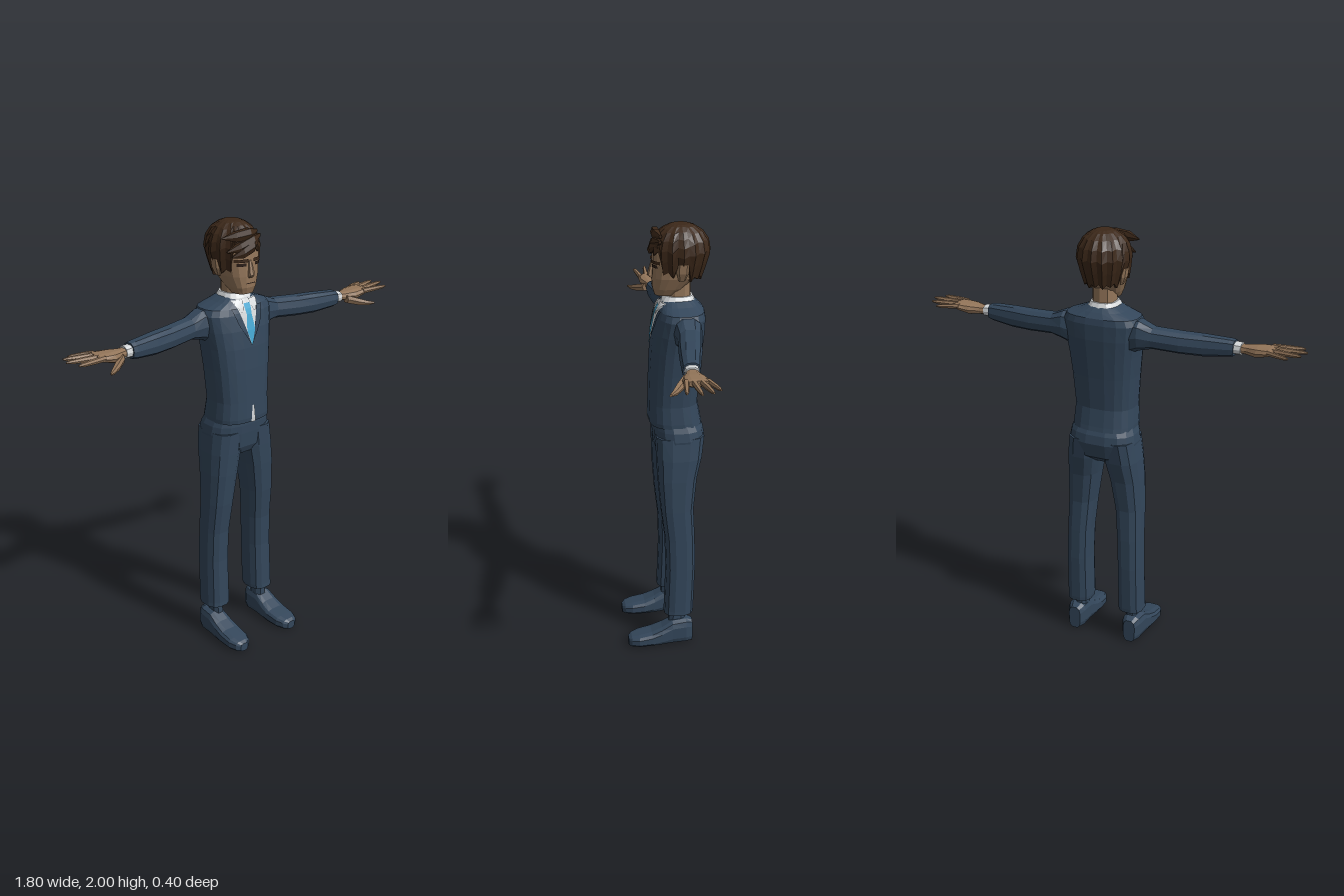
import * as THREE from 'three';

const material = (name, color) => {
  const m = new THREE.MeshStandardMaterial({ color, flatShading: true, side: THREE.DoubleSide });
  m.name = name;
  return m;
};

// Builds an indexed grid of rings, closed by end caps, and turned outwards by its signed volume
function skin(rings) {
  const n = rings[0].length, pts = rings.flat(), idx = [];
  for (let i = 0; i < rings.length - 1; i++)
    for (let j = 0; j < n; j++) {
      const a = i * n + j, b = i * n + (j + 1) % n;
      idx.push(a, b, b + n, a, b + n, a + n);
    }
  [rings[0], rings[rings.length - 1]].forEach((ring, end) => {
    const c = ring.reduce((s, p) => s.add(p), new THREE.Vector3()).divideScalar(n);
    const k = pts.push(c) - 1, o = end ? (rings.length - 1) * n : 0;
    for (let j = 0; j < n; j++) {
      const a = o + j, b = o + (j + 1) % n;
      idx.push(...(end ? [a, b, k] : [b, a, k]));
    }
  });
  let vol = 0;
  const mid = pts.reduce((s, p) => s.add(p), new THREE.Vector3()).divideScalar(pts.length);
  const rel = i => pts[i].clone().sub(mid);
  for (let i = 0; i < idx.length; i += 3)
    vol += rel(idx[i]).dot(rel(idx[i + 1]).cross(rel(idx[i + 2])));
  if (vol < 0) idx.reverse();
  const g = new THREE.BufferGeometry().setFromPoints(pts);
  g.setIndex(idx);
  const flat = g.toNonIndexed();
  flat.computeVertexNormals();
  return flat;
}

// Rows are [position, a0, a1, b0, b1]: a rounded section at each position along an axis
const power = (v, p) => Math.sign(v) * Math.abs(v) ** p;
function loft(rows, axis = 'y', side = 1, n = 12, p = 0.75) {
  return skin(rows.map(([t, a0, a1, b0, b1]) => Array.from({ length: n }, (_, j) => {
    const w = (j + 0.5) / n * Math.PI * 2;
    const a = (a0 + a1) / 2 + (a1 - a0) / 2 * power(Math.cos(w), p);
    const b = (b0 + b1) / 2 + (b1 - b0) / 2 * power(Math.sin(w), p);
    const q = axis === 'x' ? [t, a, b] : axis === 'y' ? [a, t, b] : [a, b, t];
    return new THREE.Vector3(q[0] * side, q[1], q[2]);
  })));
}

// Front z of an upright loft at x, y
function frontZ(rows, x, y, p = 0.75) {
  let i = 0;
  while (i < rows.length - 2 && y > rows[i + 1][0]) i++;
  const k = (y - rows[i][0]) / (rows[i + 1][0] - rows[i][0]);
  const r = rows[i].map((v, j) => v + (rows[i + 1][j] - v) * k);
  const c = Math.min(1, Math.abs(x / r[2]) ** (1 / p));
  return (r[3] + r[4]) / 2 + (r[4] - r[3]) / 2 * Math.sqrt(1 - c * c) ** p;
}

// Thin face laid over the front of a loft between two edge functions
function patch(rows, y0, y1, left, right, off) {
  const g = new THREE.PlaneGeometry(1, 1, 4, 8), pos = g.attributes.position;
  for (let i = 0; i < pos.count; i++) {
    const y = y0 + (y1 - y0) * (pos.getY(i) + 0.5);
    const x = left(y) + (right(y) - left(y)) * (pos.getX(i) + 0.5);
    pos.setXYZ(i, x, y, frontZ(rows, x, y) + off);
  }
  g.computeVertexNormals();
  return g;
}

export function createModel() {
  const suit = material('navy suit', 0x33465a), flesh = material('skin', 0x94765a);
  const brown = material('brown hair', 0x3c2819), white = material('white shirt', 0xd6d9db);
  const blue = material('blue tie', 0x45a8d2), dark = material('dark eyes', 0x2a1c15);
  const model = new THREE.Group();
  const add = (name, geometry, mat) => {
    const m = new THREE.Mesh(geometry, mat);
    m.name = name;
    model.add(m);
  };
  const even = (y, w, z0, z1) => [y, -w, w, z0, z1];

  // Jacket
  const torso = [
    even(1.10, 0.146, -0.16, 0.08), even(1.12, 0.146, -0.155, 0.082), even(1.20, 0.14, -0.14, 0.08),
    even(1.35, 0.152, -0.15, 0.076), even(1.45, 0.163, -0.16, 0.07), even(1.53, 0.175, -0.168, 0.06),
    even(1.60, 0.182, -0.17, 0.045), even(1.628, 0.168, -0.165, 0.035),
    even(1.65, 0.105, -0.145, 0.024), even(1.668, 0.068, -0.125, 0.012)];
  add('jacket', loft(torso, 'y', 1, 20), suit);

  // Shirt, tie, lapels and the gap at the hem
  const vee = y => Math.max(0, (y - 1.46) * 0.32);
  const tie = y => Math.min(vee(y), y > 1.61 ? 0.017 : 0.012 + (1.61 - y) * 0.15);
  add('shirtFront', patch(torso, 1.46, 1.66, y => -vee(y), vee, 0.004), white);
  add('tie', patch(torso, 1.46, 1.645, y => -tie(y), tie, 0.008), blue);
  add('shirtGap', patch(torso, 1.1, 1.18, y => -0.012 + (y - 1.1) * 0.08, y => 0.012 - (y - 1.1) * 0.08, 0.004), white);
  add('collar', loft([even(1.64, 0.078, -0.132, 0.026), even(1.665, 0.07, -0.128, 0.018),
    even(1.685, 0.058, -0.118, 0.004)], 'y', 1, 14), white);
  for (const s of [-1, 1]) {
    const edges = [y => s * vee(y), y => s * (vee(y) + 0.03 * Math.min(1, (y - 1.46) / 0.1))];
    const wing = [y => s * (0.016 + (1.66 - y) * 0.25), y => s * (0.068 - (1.66 - y) * 0.55)];
    if (s < 0) { edges.reverse(); wing.reverse(); }
    add('lapel', patch(torso, 1.46, 1.63, ...edges, 0.006), suit);
    add('collarWing', patch(torso, 1.61, 1.66, ...wing, 0.009), white);
  }

  // Hips
  add('hips', loft([even(0.935, 0.07, -0.11, 0.035), even(0.97, 0.155, -0.155, 0.052),
    even(1.04, 0.162, -0.172, 0.06), even(1.08, 0.156, -0.165, 0.062), even(1.12, 0.14, -0.145, 0.06)], 'y', 1, 16), suit);

  const fingers = [ // start z, tip x, tip z, tip y, half-width
    [-0.062, 0.84, -0.097, 1.553, 0.009], [-0.034, 0.885, -0.062, 1.56, 0.010],
    [-0.005, 0.9, -0.015, 1.562, 0.010], [0.022, 0.876, 0.04, 1.558, 0.010]];

  for (const s of [-1, 1]) {
    // Legs
    add('trouserLeg', loft([
      [0.16, 0.075, 0.194, -0.11, 0.028], [0.18, 0.073, 0.193, -0.112, 0.026],
      [0.40, 0.073, 0.19, -0.12, 0.018], [0.55, 0.068, 0.187, -0.118, 0.022],
      [0.70, 0.055, 0.184, -0.112, 0.04], [0.85, 0.032, 0.179, -0.128, 0.052],
      [0.95, 0.012, 0.172, -0.152, 0.056], [1.05, 0.005, 0.158, -0.165, 0.058]], 'y', s), suit);
    add('sock', loft([[0.08, 0.105, 0.165, -0.075, 0.01], [0.2, 0.108, 0.16, -0.072, 0.0]], 'y', s, 8), suit);
    add('shoe', loft([
      [-0.106, 0.115, 0.175, 0, 0.115], [-0.075, 0.098, 0.192, 0, 0.128], [-0.01, 0.098, 0.196, 0, 0.122],
      [0.04, 0.092, 0.202, 0, 0.092], [0.09, 0.088, 0.206, 0, 0.07], [0.15, 0.092, 0.206, 0, 0.058],
      [0.185, 0.108, 0.192, 0, 0.05], [0.2, 0.128, 0.172, 0, 0.04]], 'z', s, 12, 0.6), suit);

    // Arms
    add('sleeve', loft([
      [0.12, 1.46, 1.625, -0.13, 0.0], [0.18, 1.49, 1.625, -0.137, -0.015], [0.24, 1.505, 1.598, -0.125, -0.02],
      [0.36, 1.496, 1.59, -0.106, -0.004], [0.46, 1.493, 1.587, -0.085, 0.006],
      [0.57, 1.503, 1.58, -0.064, 0.015], [0.59, 1.508, 1.577, -0.06, 0.014]], 'x', s, 10), suit);
    add('cuff', loft([[0.57, 1.517, 1.57, -0.054, 0.008], [0.62, 1.517, 1.568, -0.052, 0.008]], 'x', s, 10), white);
    add('palm', loft([
      [0.60, 1.525, 1.56, -0.045, 0.0], [0.645, 1.522, 1.562, -0.05, 0.012],
      [0.69, 1.517, 1.567, -0.066, 0.032], [0.745, 1.533, 1.568, -0.074, 0.034],
      [0.765, 1.543, 1.566, -0.07, 0.03]], 'x', s, 10), flesh);
    for (const [z0, tx, tz, ty, r] of fingers) {
      add('finger', loft([0, 0.5, 0.85, 1].map((k, i) => {
        const z = z0 + (tz - z0) * k, y = 1.555 + (ty - 1.555) * k, w = r * [1.25, 1.1, 0.85, 0.4][i];
        return [0.74 + (tx - 0.74) * k, y - w, y + w, z - w, z + w];
      }), 'x', s, 6), flesh);
    }
    add('thumb', loft([
      [0.645, 1.51, 1.55, -0.01, 0.025], [0.69, 1.499, 1.535, 0.02, 0.056],
      [0.73, 1.496, 1.52, 0.052, 0.077], [0.757, 1.503, 1.513, 0.079, 0.09]], 'x', s, 6), flesh);
  }

  // Head
  const head = [
    even(1.69, 0.044, -0.04, 0.05), even(1.72, 0.06, -0.08, 0.06), even(1.77, 0.08, -0.13, 0.062),
    even(1.83, 0.089, -0.15, 0.06), even(1.88, 0.09, -0.15, 0.058), even(1.95, 0.075, -0.13, 0.03)];
  add('head', loft(head, 'y', 1, 16), flesh);
  add('neck', loft([even(1.63, 0.052, -0.112, -0.002), even(1.76, 0.05, -0.11, -0.004)], 'y', 1, 10), flesh);
  add('nose', loft([even(1.765, 0.013, 0.05, 0.068), even(1.777, 0.015, 0.05, 0.083),
    even(1.84, 0.008, 0.05, 0.064)], 'y', 1, 6), flesh);
  add('mouth', patch(head, 1.738, 1.742, () => -0.024, () => 0.024, 0.003), dark);
  for (const s of [-1, 1]) {
    const span = (a, b) => (s > 0 ? [() => a, () => b] : [() => -b, () => -a]);
    add('eyebrow', patch(head, 1.835, 1.849, ...span(0.014, 0.074), 0.006), brown);
    add('eye', patch(head, 1.818, 1.831, ...span(0.024, 0.064), 0.004), dark);
    add('ear', loft([[1.765, 0.075, 0.088, -0.075, -0.045], [1.80, 0.078, 0.104, -0.088, -0.035],
      [1.84, 0.08, 0.11, -0.09, -0.035]], 'y', s, 6), flesh);
  }

  // Hair: a cap of ridged locks with an uneven lower edge, shorter over the face
  const n = 32, rings = [];
  for (let i = 0; i <= 7; i++) {
    const ring = [];
    for (let j = 0; j < n; j++) {
      const w = j / n * Math.PI * 2, f = Math.cos(w); // f = 1 at the front
      const base = f > 0.72 ? 1.88 : f > 0.3 ? 1.79 : f > -0.25 ? 1.825 : 1.765;
      const low = base + [0, 0.014, -0.008, 0.01][j % 4];
      const y = low + (1.997 - low) * Math.sin(Math.max(0, i - 1) / 6 * Math.PI / 2);
      let r = y > 1.87 ? Math.sqrt(Math.max(0.02, 1 - ((y - 1.87) / 0.132) ** 2.5)) : 1 - 2.6 * (1.87 - y) * (f < 0.3 ? 1 : 0.5);
      r *= i === 0 ? 0.8 : j % 2 ? 0.95 : 1.01;
      ring.push(new THREE.Vector3(0.118 * r * Math.sin(w), y, -0.064 + 0.132 * r * f));
    }
    rings.push(ring);
  }
  add('hair', skin(rings), brown);
  // Fringe locks swept to one side
  [[0.06, -0.125, 1.955, 1.945, 0.03, 0.02], [0.075, -0.105, 1.935, 1.885, 0.034, 0.03],
    [0.06, -0.085, 1.915, 1.862, 0.038, 0.042]].forEach(([x0, x1, y0, y1, z0, z1]) => {
    add('fringeLock', loft([0, 0.3, 0.7, 1].map((k, i) => {
      const x = x0 + (x1 - x0) * k, y = y0 + (y1 - y0) * k, w = [0.008, 0.026, 0.023, 0.003][i];
      const z = z0 + (z1 - z0) * k + 0.02 * Math.sin(k * Math.PI);
      return [x, y - w, y + w, z - w * 0.8, z + w * 0.8];
    }), 'x', 1, 6), brown);
  });
  return model;
}
